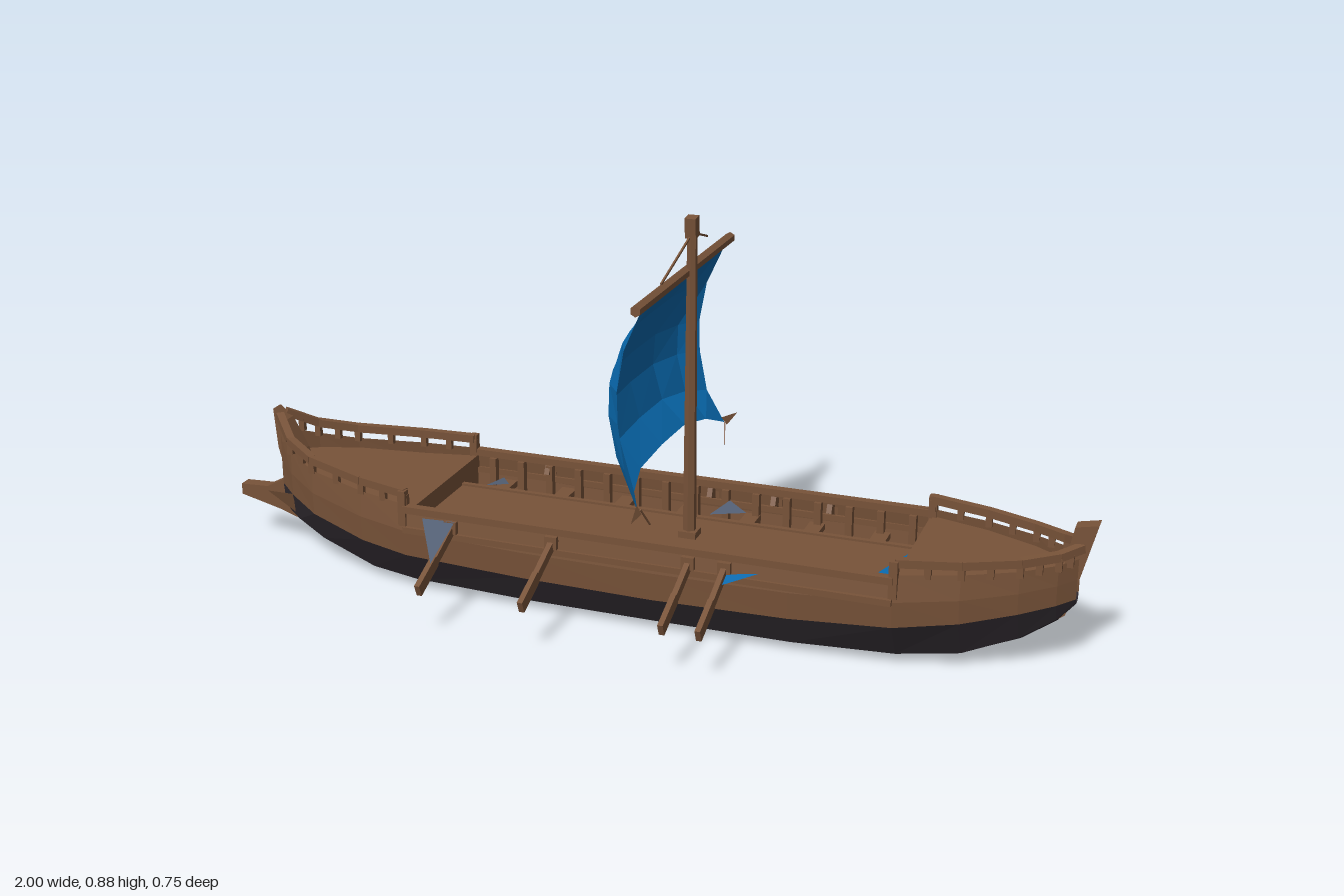
import * as THREE from 'three';

const mat = (name, color) => {
  const m = new THREE.MeshStandardMaterial({ color, flatShading: true, side: THREE.DoubleSide });
  m.name = name;
  return m;
};

export function createModel() {
  const ship = new THREE.Group();
  ship.name = 'sailingGalley';
  const wood = mat('brownWood', 0x785339);
  const pitch = mat('darkPitch', 0x312b31);
  const cloth = mat('blueSailcloth', 0x0869ae);
  const grey = mat('greyCloth', 0x505d72);

  const add = (name, geo, material = wood) => {
    const mesh = new THREE.Mesh(geo, material);
    mesh.name = name;
    ship.add(mesh);
    return mesh;
  };
  const box = (name, x, y, z, sx, sy, sz) => {
    const m = add(name, new THREE.BoxGeometry(sx, sy, sz));
    m.position.set(x, y, z);
    return m;
  };
  // Square beam between two points: w wide, h tall
  const beam = (name, a, b, w, h = w) => {
    const p = new THREE.Vector3(...a), q = new THREE.Vector3(...b);
    const m = add(name, new THREE.BoxGeometry(w, h, p.distanceTo(q)));
    m.position.copy(p).lerp(q, 0.5);
    m.lookAt(q);
    return m;
  };
  // Surface through equal-length rows of points
  const loft = (rows) => {
    const n = rows[0].length, index = [];
    for (let i = 0; i < rows.length - 1; i++)
      for (let j = 0; j < n - 1; j++) {
        const a = i * n + j, b = a + n;
        index.push(a, a + 1, b, b, a + 1, b + 1);
      }
    const g = new THREE.BufferGeometry();
    g.setAttribute('position', new THREE.Float32BufferAttribute(rows.flat(2), 3));
    g.setIndex(index);
    const flat = g.toNonIndexed();
    flat.computeVertexNormals();
    return flat;
  };
  const triangle = (name, a, b, c, material) => add(name, loft([[a, b], [c, c]]), material);
  // Side profile in x/y, extruded across z
  const slab = (name, pts, width) => {
    const s = new THREE.Shape(pts.map((p) => new THREE.Vector2(...p)));
    return add(name, new THREE.ExtrudeGeometry(s, { depth: width, bevelEnabled: false }).translate(0, 0, -width / 2));
  };

  // Hull stations: x, half width, keel height, paint line, top of planking
  const stations = [
    [-0.88, 0.025, 0.085, 0.155, 0.275], [-0.83, 0.07, 0.06, 0.148, 0.255],
    [-0.75, 0.118, 0.034, 0.13, 0.236], [-0.6, 0.17, 0, 0.108, 0.226],
    [-0.48, 0.196, 0, 0.1, 0.22], [-0.2, 0.2, 0, 0.09, 0.214],
    [0.1, 0.2, 0, 0.086, 0.214], [0.4, 0.2, 0, 0.092, 0.214],
    [0.62, 0.194, 0, 0.105, 0.222], [0.75, 0.156, 0.006, 0.118, 0.226],
    [0.86, 0.104, 0.048, 0.135, 0.23], [0.93, 0.055, 0.095, 0.145, 0.235],
    [0.965, 0.018, 0.135, 0.15, 0.24],
  ];
  // Bottom narrows towards both ends
  add('lowerHull', loft(stations.map(([x, w, b, m]) => {
    const fine = Math.min(1, Math.max(0, Math.abs(x - 0.05) - 0.4) / 0.35);
    const half = [[x, m, w * 0.975], [x, b + 0.22 * (m - b), w * (0.78 - 0.13 * fine)], [x, b, w * (0.5 - 0.26 * fine)]];
    return [...half, ...half.map(([px, y, z]) => [px, y, -z]).reverse()];
  })), pitch);
  for (const s of [1, -1])
    add('upperPlanking', loft(stations.map(([x, w, , m, t]) =>
      [[x, m, s * w * 0.975], [x, (m + t) / 2, s * w], [x, t, s * w * 0.96]])));

  // Decks at bow and stern, and the lower rowing floor
  const deck = (name, from, to, height) => add(name, loft(stations.slice(from, to + 1).map(([x, w]) =>
    [[x, height(x), -w * 0.96], [x, height(x), w * 0.96]])));
  deck('foreDeck', 0, 4, (x) => 0.2 + Math.max(0, -x - 0.6) * 0.08);
  deck('aftDeck', 8, 12, () => 0.205);
  deck('rowingFloor', 4, 8, () => 0.12);
  box('foreBulkhead', -0.48, 0.16, 0, 0.012, 0.085, 0.37);
  box('aftBulkhead', 0.62, 0.16, 0, 0.012, 0.085, 0.36);
  box('centreDeck', 0.07, 0.15, 0, 1.1, 0.02, 0.2);

  for (const s of [1, -1]) {
    // Gunwale, wale, ribs and benches along the waist
    box('gunwale', 0.07, 0.212, s * 0.19, 1.1, 0.016, 0.02);
    box('wale', 0.07, 0.165, s * 0.197, 1.1, 0.014, 0.012);
    box('deckEdge', 0.07, 0.158, s * 0.1, 1.1, 0.014, 0.012);
    for (let i = 0; i < 15; i++)
      box('rib', -0.43 + i * 0.072, 0.162, s * 0.181, 0.016, 0.084, 0.018);
    for (let i = 0; i < 7; i++)
      box('rowingBench', -0.39 + i * 0.15, 0.145, s * 0.143, 0.035, 0.014, 0.085);

    // Raised rails around bow and stern
    const rail = (name, pts) => {
      for (let i = 0; i < pts.length - 1; i++) {
        const [a, b] = [pts[i], pts[i + 1]].map(([x, y, z]) => [x, y, s * z]);
        beam(name, a, b, 0.018, 0.018);
        for (const t of [0, 0.5]) {
          const p = a.map((v, k) => v + (b[k] - v) * t);
          box(name + 'Post', p[0], p[1] - 0.018, p[2], 0.014, 0.03, 0.012);
        }
      }
    };
    rail('bowRail', [[-0.48, 0.246, 0.183], [-0.6, 0.252, 0.16], [-0.75, 0.263, 0.112], [-0.83, 0.282, 0.066], [-0.885, 0.32, 0.014]]);
    rail('sternRail', [[0.62, 0.248, 0.181], [0.75, 0.248, 0.147], [0.86, 0.25, 0.099], [0.93, 0.255, 0.052], [0.97, 0.265, 0.014]]);
    box('bowRailEnd', -0.483, 0.213, s * 0.189, 0.018, 0.082, 0.018);
    box('sternRailEnd', 0.62, 0.213, s * 0.187, 0.018, 0.082, 0.018);

    // Oars, each with a port block and a wider blade
    for (const x of s > 0 ? [-0.362, -0.125, 0.185, 0.265] : [-0.29, 0.11, 0.26, 0.39]) {
      box('oarPort', x, 0.188, s * 0.201, 0.028, 0.028, 0.012);
      beam('oarShaft', [x, 0.195, s * 0.17], [x, 0.142, s * 0.29], 0.012, 0.021);
      beam('oarBlade', [x, 0.144, s * 0.285], [x, 0.109, s * 0.37], 0.012, 0.028);
    }
  }

  // Stem post, ram and stern post
  slab('bowPost', [[-0.9, 0.335], [-0.892, 0.24], [-0.87, 0.16], [-0.8, 0.14], [-0.83, 0.24], [-0.868, 0.31]], 0.034);
  slab('ram', [[-1, 0.107], [-1, 0.133], [-0.93, 0.136], [-0.87, 0.168], [-0.8, 0.16], [-0.83, 0.06], [-0.9, 0.083]], 0.03);
  for (const s of [1, -1])
    triangle('ramCheek', [-0.93, 0.125, s * 0.015], [-0.83, 0.15, s * 0.068], [-0.84, 0.095, s * 0.045], wood);
  slab('sternPost', [[0.92, 0.09], [0.945, 0.11], [0.97, 0.2], [1, 0.318], [0.952, 0.308], [0.935, 0.22], [0.9, 0.12]], 0.034);

  // Mast and yard
  add('mast', new THREE.CylinderGeometry(0.011, 0.015, 0.7, 6)).position.set(0.12, 0.5, 0);
  box('masthead', 0.12, 0.858, 0.002, 0.024, 0.044, 0.026).rotation.x = 0.12;
  box('mastStep', 0.12, 0.165, 0, 0.04, 0.02, 0.04);
  const yard = add('yard', new THREE.CylinderGeometry(0.012, 0.012, 0.61, 6));
  yard.rotation.x = Math.PI / 2;
  yard.position.set(0.108, 0.76, 0.005);

  // Billowing sail: height, middle x, edge x, half width and corner droop per row
  const sailRows = [
    [0.365, 0.055, 0.105, 0.287, 0.04], [0.42, 0.003, 0.068, 0.268, 0.015],
    [0.5, -0.018, 0.052, 0.262, 0], [0.57, -0.012, 0.05, 0.262, 0],
    [0.66, 0.028, 0.066, 0.264, 0], [0.755, 0.106, 0.108, 0.271, 0],
  ];
  add('sail', loft(sailRows.map(([y, mid, edge, w, droop]) =>
    [-1, -0.82, -0.5, 0, 0.5, 0.82, 1].map((u) => {
      const k = u ** 4;
      return [mid + (edge - mid) * k, y - droop * k, u * w];
    }))), cloth);

  // Ropes at the masthead and sheet ends at the sail's foot
  beam('rope', [0.12, 0.838, 0.02], [0.11, 0.777, 0.165], 0.004);
  beam('rope', [0.12, 0.842, -0.01], [0.11, 0.805, -0.13], 0.004);
  for (const s of [1, -1]) {
    triangle('sheetEnd', [0.1, 0.338, s * 0.28], [0.112, 0.32, s * 0.285], [0.115, 0.327, s * 0.355], wood);
    beam('sheet', [0.108, 0.328, s * 0.28], [0.118, 0.285, s * 0.25], 0.003);
  }

  // Loose cloth hung over the side and lying inboard
  triangle('hangingCloth', [-0.43, 0.2, 0.203], [-0.352, 0.203, 0.203], [-0.358, 0.15, 0.315], grey);
  triangle('sideCloth', [0.26, 0.175, 0.205], [0.34, 0.188, 0.203], [0.27, 0.165, 0.235], cloth);
  triangle('deckCloth', [0.612, 0.185, -0.03], [0.53, 0.16, 0.13], [0.612, 0.175, 0.07], cloth);
  triangle('benchCloth', [-0.17, 0.162, 0.11], [-0.11, 0.165, 0.14], [-0.15, 0.162, 0.17], grey);
  triangle('benchCloth', [-0.42, 0.162, -0.11], [-0.37, 0.165, -0.13], [-0.4, 0.162, -0.17], grey);
  triangle('benchCloth', [0.13, 0.168, -0.11], [0.21, 0.175, -0.13], [0.16, 0.185, -0.165], grey);

  return ship;
}
